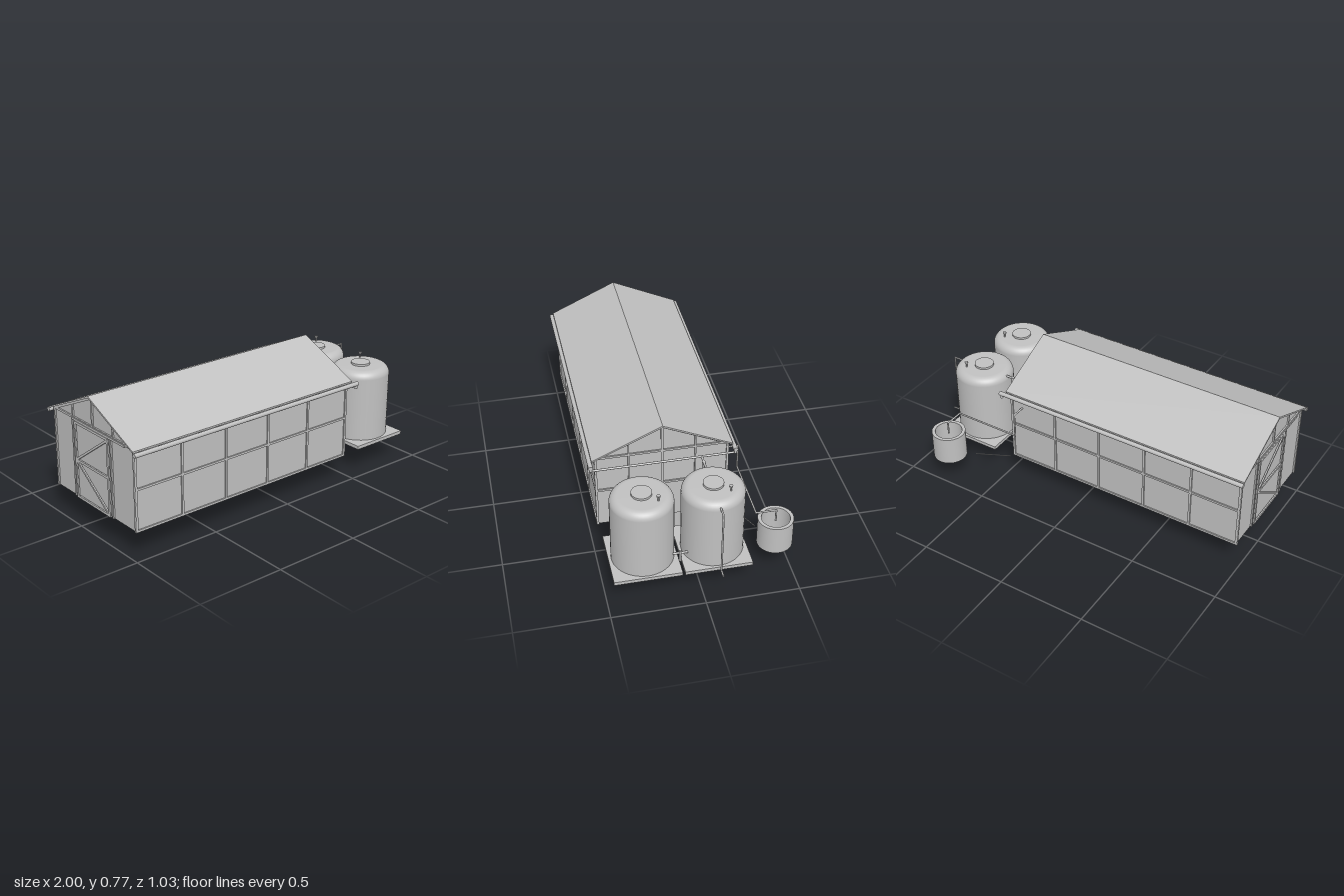
import * as THREE from 'three';

const V = (x, y, z) => new THREE.Vector3(x, y, z);

export function createModel() {
  const model = new THREE.Group();
  model.name = 'farmShedWithTanks';
  const grey = new THREE.MeshStandardMaterial({ color: 0xc0c0c0 });
  grey.name = 'plain grey';
  const greyOpen = new THREE.MeshStandardMaterial({ color: 0xc0c0c0, side: THREE.DoubleSide });
  greyOpen.name = 'plain grey';

  function add(name, geometry, parent = model, material = grey) {
    const mesh = new THREE.Mesh(geometry, material);
    mesh.name = name;
    parent.add(mesh);
    return mesh;
  }
  // Box given by its lower and upper limits
  function box(name, x0, x1, y0, y1, z0, z1, parent) {
    const mesh = add(name, new THREE.BoxGeometry(x1 - x0, y1 - y0, z1 - z0), parent);
    mesh.position.set((x0 + x1) / 2, (y0 + y1) / 2, (z0 + z1) / 2);
    return mesh;
  }
  // Round bar between two points
  function rod(name, a, b, r, parent) {
    const dir = b.clone().sub(a);
    const mesh = add(name, new THREE.CylinderGeometry(r, r, dir.length(), 16), parent);
    mesh.position.copy(a).add(b).multiplyScalar(0.5);
    mesh.quaternion.setFromUnitVectors(V(0, 1, 0), dir.normalize());
    return mesh;
  }
  // Pipe run with rounded elbows
  function pipe(name, points, r = 0.005) {
    const group = new THREE.Group();
    group.name = name;
    model.add(group);
    const p = points.map((q) => V(...q));
    for (let i = 1; i < p.length; i++) {
      rod('pipeLength', p[i - 1], p[i], r, group);
      if (i < p.length - 1) add('elbow', new THREE.SphereGeometry(r * 1.05, 12, 8), group).position.copy(p[i]);
    }
  }
  // Extrude a (z, y) outline along x
  function extrudeX(name, outline, x0, x1) {
    const shape = new THREE.Shape(outline.map(([z, y]) => new THREE.Vector2(-z, y)));
    const geo = new THREE.ExtrudeGeometry(shape, { depth: x1 - x0, bevelEnabled: false });
    geo.rotateY(Math.PI / 2);
    geo.translate(x0, 0, 0);
    return add(name, geo);
  }

  // Shed body and roof
  const base = 0.148, eave = 0.59, ridgeZ = 0.117, x0 = -0.975, x1 = 0.445;
  const zBack = -0.235, zFront = 0.469;
  extrudeX('shedBody', [[zFront, base], [zBack, base], [zBack, eave], [ridgeZ, 0.752], [zFront, eave]], x0, x1);
  extrudeX('roof', [[0.492, 0.588], [0.492, 0.597], [ridgeZ, 0.768], [-0.258, 0.597], [-0.258, 0.588], [ridgeZ, 0.757]], -1, 0.47);

  // Long wall frames
  const w = 0.006;
  for (const [z, s] of [[zFront, 1], [zBack, -1]]) {
    const a = Math.min(z, z + s * 0.007), b = Math.max(z, z + s * 0.007);
    for (let i = 0; i <= 5; i++) {
      const x = x0 + ((x1 - x0) * i) / 5;
      box('wallPost', x - w, x + w, base, eave, a, b);
    }
    for (const y of [base + w, 0.38, eave - w]) box('wallRail', x0, x1, y - w, y + w, a, b);
  }

  // Flat bar lying on an end wall, from (z, y) to (z, y)
  function gableBar(name, x, za, ya, zb, yb, width = 0.012) {
    const mesh = add(name, new THREE.BoxGeometry(0.008, width, Math.hypot(zb - za, yb - ya)));
    mesh.position.set(x, (ya + yb) / 2, (za + zb) / 2);
    mesh.rotation.x = -Math.atan2(yb - ya, zb - za);
  }
  for (const x of [x0 - 0.004, x1 + 0.004]) {
    for (const s of [-1, 1]) {
      gableBar('rafter', x, ridgeZ + s * 0.36, 0.588, ridgeZ, 0.751);
      gableBar('cornerPost', x, ridgeZ + s * 0.352, base, ridgeZ + s * 0.352, eave);
      gableBar('gablePost', x, ridgeZ + s * 0.178, x > 0 ? base : eave, ridgeZ + s * 0.178, 0.67, 0.008);
    }
    gableBar('tieBeam', x, zBack, 0.595, zFront, 0.595);
    gableBar('kingPost', x, ridgeZ, x > 0 ? base : eave, ridgeZ, 0.75);
  }
  gableBar('endRail', x1 + 0.004, zBack, 0.38, zFront, 0.38);

  // Braced door on the far end
  const dx = x0 - 0.008, d0 = -0.04, d1 = 0.25;
  for (const z of [d0, d1]) {
    gableBar('doorStile', dx, z, base, z, 0.575, 0.014);
    gableBar('doorPost', x0 - 0.004, z + (z < 0 ? -0.025 : 0.025), base, z + (z < 0 ? -0.025 : 0.025), eave);
  }
  for (const y of [base + 0.007, 0.365, 0.575]) gableBar('doorRail', dx, d0, y, d1, y, 0.014);
  gableBar('doorBrace', dx, d0, 0.365, d1, 0.57);
  gableBar('doorBrace', dx, d0, 0.365, d1, 0.155);
  gableBar('doorTrack', dx, -0.07, 0.59, 0.4, 0.59, 0.012);

  // Gutters with the collecting pipe across the end
  for (const z of [0.501, -0.266]) {
    rod('gutter', V(-1, 0.578, z), V(0.505, 0.578, z), 0.012);
    rod('gutterOutlet', V(0.493, 0.578, z), V(0.493, 0.552, z), 0.008);
  }
  pipe('collectingPipe', [[0.493, 0.555, 0.501], [0.493, 0.555, -0.266]], 0.006);

  // Rounded tanks on slabs
  const R = 0.165, round = 0.045, top = 0.578;
  const profile = [new THREE.Vector2(0, 0.16), new THREE.Vector2(R, 0.16), new THREE.Vector2(R, 0.161)];
  for (let i = 0; i <= 8; i++) {
    const t = (i / 8) * Math.PI / 2;
    profile.push(new THREE.Vector2(R - round + round * Math.cos(t), top - round + round * Math.sin(t)));
  }
  profile.push(new THREE.Vector2(0, top));
  for (const z of [0.285, -0.085]) {
    const tank = new THREE.Group();
    tank.name = 'waterTank';
    tank.position.set(0.747, 0, z);
    model.add(tank);
    add('tankShell', new THREE.LatheGeometry(profile, 48), tank);
    add('tankLid', new THREE.CylinderGeometry(0.054, 0.054, 0.014, 32), tank).position.y = 0.583;
    rod('vent', V(0.07, 0.56, -0.073), V(0.07, 0.606, -0.073), 0.004, tank);
    add('ventCap', new THREE.CylinderGeometry(0.01, 0.01, 0.007, 16), tank).position.set(0.07, 0.608, -0.073);
    box('tankSlab', -0.177, 0.178, 0.147, 0.167, -0.177, 0.18, tank);
  }

  // Pipework between shed and tanks
  pipe('tankFeed', [[0.493, 0.555, -0.085], [0.6, 0.555, -0.085]], 0.006);
  rod('downpipe', V(0.545, 0.245, -0.085), V(0.545, 0.56, -0.085), 0.01);
  add('downpipeFlange', new THREE.CylinderGeometry(0.014, 0.014, 0.012, 20)).position.set(0.545, 0.262, -0.085);
  pipe('lowerFeed', [[0.445, 0.245, -0.02], [0.61, 0.245, -0.02]]);
  pipe('crossFeed', [[0.545, 0.25, -0.085], [0.51, 0.25, -0.085], [0.51, 0.25, -0.02]]);
  rod('pump', V(0.512, 0.167, -0.02), V(0.512, 0.25, -0.02), 0.015);
  pipe('pumpSuction', [[0.445, 0.19, -0.02], [0.51, 0.19, -0.02]]);
  pipe('groundPipe', [[0.445, 0.15, 0.1], [0.57, 0.15, 0.1]], 0.003);
  pipe('tankLink', [[0.82, 0.207, 0.06], [0.82, 0.207, 0.14]], 0.006);
  rod('linkValve', V(0.82, 0.15, 0.1), V(0.82, 0.222, 0.1), 0.006);
  pipe('overflowPipe', [[0.88, 0.55, -0.085], [0.96, 0.55, -0.085], [0.96, 0.175, -0.085], [1, 0.175, -0.085]]);

  // Open ring drum, its supply pipe and the ground line
  const ring = [[0.076, 0.146], [0.095, 0.146], [0.095, 0.146], [0.095, 0.31], [0.095, 0.31], [0.076, 0.31], [0.076, 0.31], [0.076, 0.146]];
  for (let i = 0; i < 4; i++) {
    const part = ring.slice(i * 2, i * 2 + 2).map(([r, y]) => new THREE.Vector2(r, y));
    add('openDrum', new THREE.LatheGeometry(part, 48), model, greyOpen).position.set(0.77, 0, -0.42);
  }
  pipe('drumSupply', [[0.38, 0.503, -0.235], [0.38, 0.503, -0.311], [0.38, 0.361, -0.311],
    [0.77, 0.361, -0.311], [0.77, 0.361, -0.42], [0.77, 0.29, -0.42]]);
  pipe('groundLine', [[0.46, 0.148, -0.262], [0.64, 0.148, -0.35]], 0.0025);

  // Sunken pit below the shed
  add('pit', new THREE.CylinderGeometry(0.095, 0.095, 0.15, 48)).position.set(0.33, 0.075, 0.06);

  return model;
}
